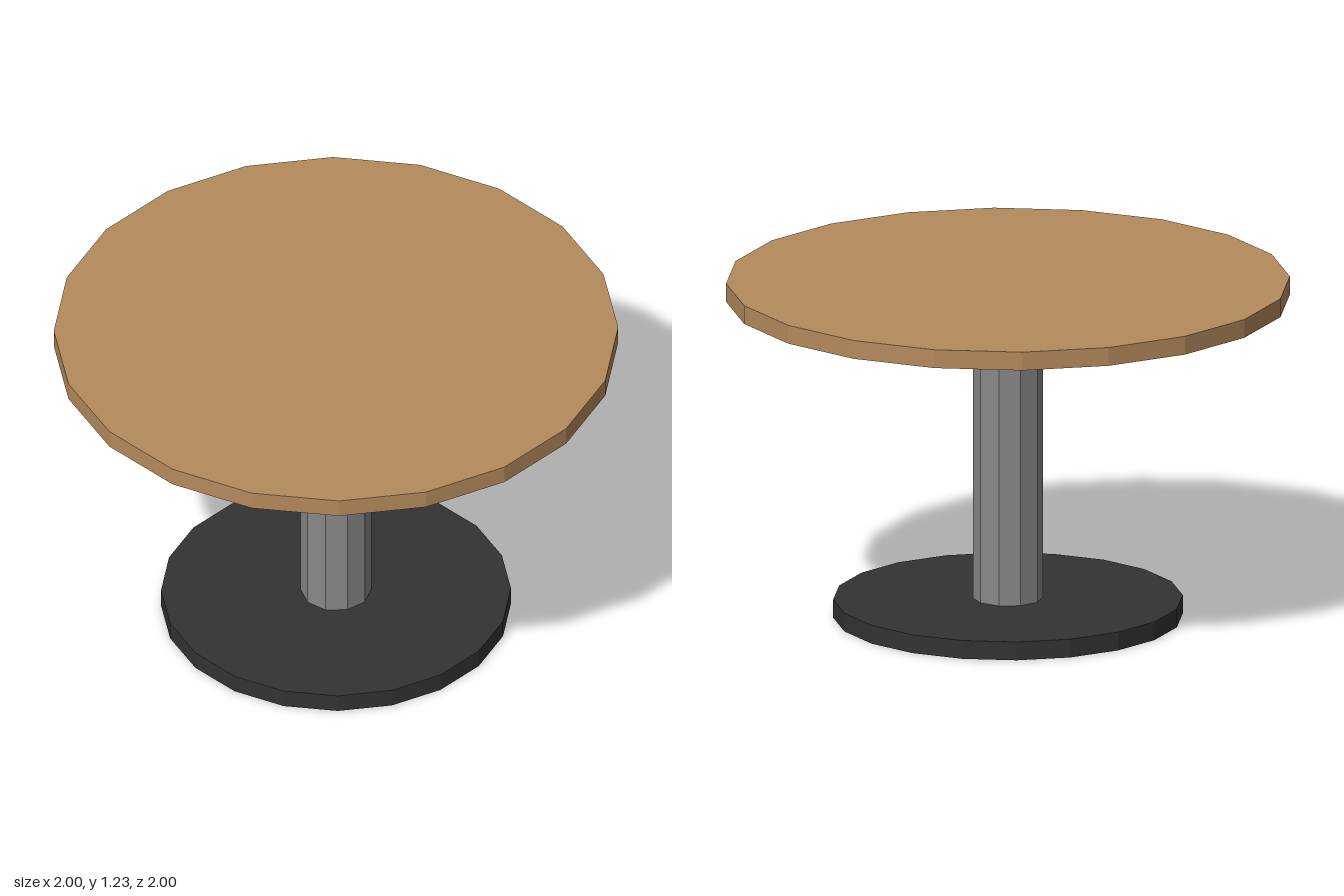
import * as THREE from 'three';

// Faceted upright cylinder spanning y0..y1
function disc(name, radius, y0, y1, sides, color) {
  const mesh = new THREE.Mesh(
    new THREE.CylinderGeometry(radius, radius, y1 - y0, sides),
    new THREE.MeshStandardMaterial({ color, flatShading: true })
  );
  mesh.name = name;
  mesh.position.y = (y0 + y1) / 2;
  return mesh;
}

export function createModel() {
  const table = new THREE.Group();
  table.name = 'pedestalTable';
  table.add(
    disc('base', 0.62, 0, 0.067, 20, 0x333333),
    disc('column', 0.125, 0.067, 1.163, 10, 0x888888),
    disc('tableTop', 1, 1.163, 1.23, 20, 0xb58a5c)
  );
  return table;
}
